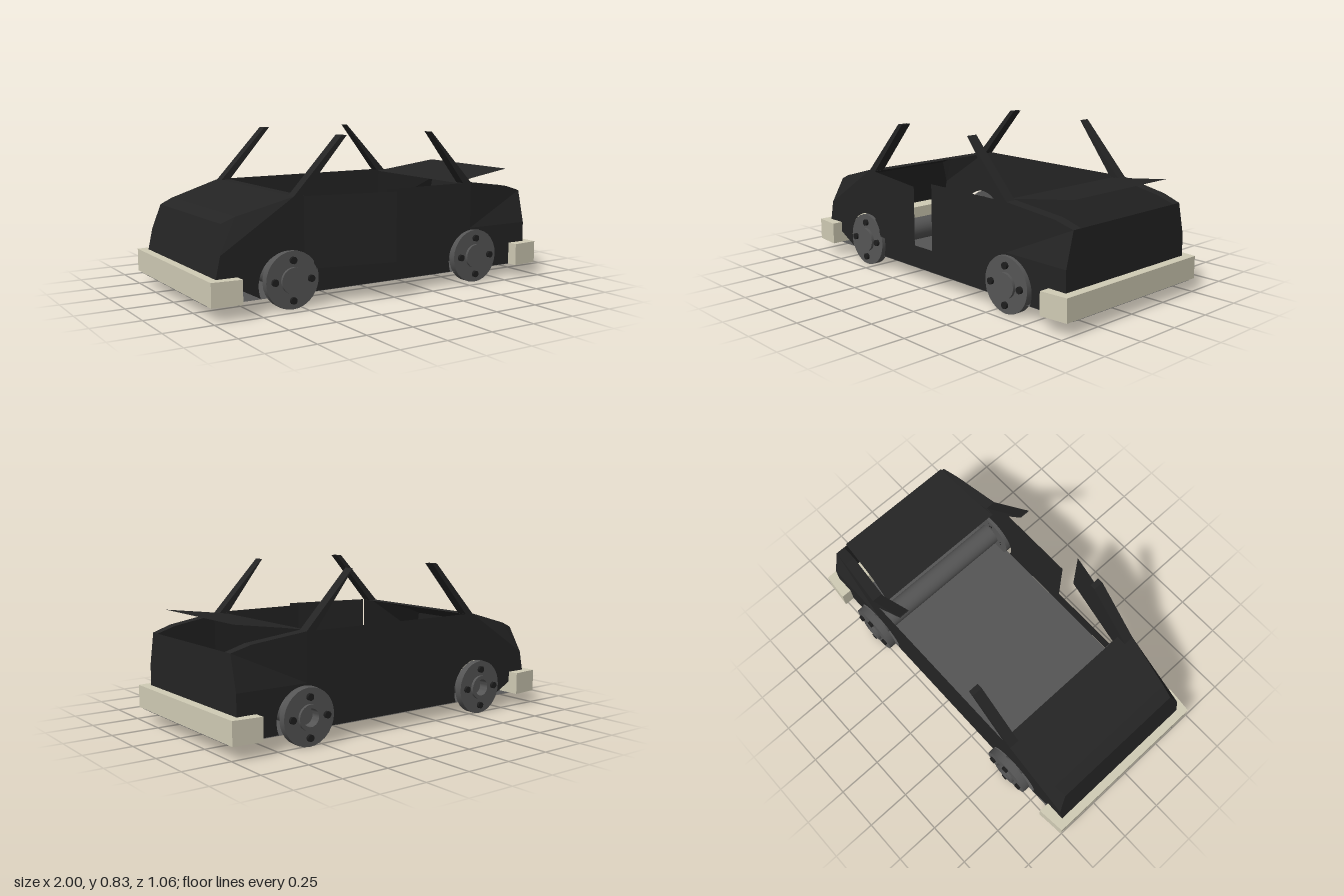
import * as THREE from 'three';
import { toCreasedNormals } from 'three/addons/utils/BufferGeometryUtils.js';

const ZC = -0.022, HALF = 0.445, FLOOR = 0.068;
const ARCH_Y = 0.13, ARCH_R = 0.16, ARCH_A = Math.asin((0.07 - ARCH_Y) / ARCH_R);
const ARCHES = [-0.575, 0.575];

const mat = (name, color, side = THREE.FrontSide) => {
  const m = new THREE.MeshStandardMaterial({ color, side });
  m.name = name;
  return m;
};

// How far the body side leans inwards at nose and tail
function inset(x, y) {
  if (y <= 0.3) return 0;
  if (x > 0.56) return 0.045 * (x - 0.56) / 0.39 * Math.min(1, (y - 0.3) / 0.178);
  if (x < -0.54) return 0.055 * (-0.54 - x) / 0.36 * Math.min(1, (y - 0.3) / 0.14);
  return 0;
}

// Sheet running along rows of [x, y, z0, z1]
function sheet(rows) {
  const p = [];
  for (let i = 0; i + 1 < rows.length; i++) {
    const [x, y, a, b] = rows[i], [X, Y, A, B] = rows[i + 1];
    p.push(x, y, a, x, y, b, X, Y, B, x, y, a, X, Y, B, X, Y, A);
  }
  const g = new THREE.BufferGeometry();
  g.setAttribute('position', new THREE.Float32BufferAttribute(p, 3));
  g.computeVertexNormals();
  return g;
}
const across = (rows) => sheet(rows.map(([x, y, h]) => {
  const w = h ?? HALF - inset(x, y);
  return [x, y, ZC + w, ZC - w];
}));

const outline = (pts) => new THREE.Shape(pts.map(([x, y]) => new THREE.Vector2(x, y)));

// Flat outline stood on one side of the body and bent by the inset rule
function sidePanel(shape, s) {
  const g = new THREE.ShapeGeometry(shape, 20).toNonIndexed();
  const p = g.attributes.position;
  for (let i = 0; i < p.count; i++) p.setZ(i, ZC + s * (HALF - inset(p.getX(i), p.getY(i))));
  g.computeVertexNormals();
  return g;
}

export function createModel() {
  const model = new THREE.Group();
  const body = mat('black paint', 0x242424, THREE.DoubleSide);
  const grey = mat('grey metal', 0x555555);
  const floorMat = mat('grey floor', 0x555555, THREE.DoubleSide);
  const cream = mat('cream bumper', 0xd0cbb5);
  const dark = mat('dark bolt', 0x1e1e1e);
  const add = (name, geo, material, parent = model) => {
    const m = new THREE.Mesh(geo, material);
    m.name = name;
    parent.add(m);
    return m;
  };

  add('floor', across([[-1, FLOOR, HALF], [1, FLOOR, HALF]]), floorMat);

  // Nose, bonnet and tail
  add('nose', across([[-0.955, 0.07], [-0.955, 0.19], [-0.931, 0.3], [-0.9, 0.44]]), body);
  add('bonnet', across([[-0.9, 0.44], [-0.83, 0.47], [-0.54, 0.55], [-0.485, 0.55]]), body);
  add('tailPanel', across([[0.95, 0.07], [0.95, 0.3], [0.95, 0.478]]), body);
  add('raisedBootLid', across([[0.51, 0.545, 0.385], [0.65, 0.566, 0.365], [0.9, 0.6, 0.347]]), body);

  // Body sides; the +z side has the door opening
  const arcEnd = Math.asin((0.19 - ARCH_Y) / ARCH_R);
  const arcTop = Math.acos((-0.49 - ARCHES[0]) / ARCH_R);
  for (const s of [1, -1]) {
    const lower = new THREE.Shape();
    lower.moveTo(-0.955, 0.07);
    if (s > 0) {
      lower.absarc(ARCHES[0], ARCH_Y, ARCH_R, Math.PI - ARCH_A, arcTop, true);
      lower.lineTo(-0.49, 0.3);
    } else {
      lower.absarc(ARCHES[0], ARCH_Y, ARCH_R, Math.PI - ARCH_A, ARCH_A, true);
      lower.absarc(ARCHES[1], ARCH_Y, ARCH_R, Math.PI - ARCH_A, ARCH_A, true);
      lower.lineTo(0.95, 0.07);
      lower.lineTo(0.95, 0.3);
    }
    lower.lineTo(-0.931, 0.3);
    lower.lineTo(-0.955, 0.19);
    add('lowerSide', sidePanel(lower, s), body);
    if (s > 0) {
      const sill = new THREE.Shape();
      sill.absarc(ARCHES[0], ARCH_Y, ARCH_R, arcEnd, ARCH_A, true);
      sill.absarc(ARCHES[1], ARCH_Y, ARCH_R, Math.PI - ARCH_A, ARCH_A, true);
      for (const [x, y] of [[0.95, 0.07], [0.95, 0.3], [0, 0.3], [0, 0.19]]) sill.lineTo(x, y);
      add('sill', sidePanel(sill, s), body);
    }
    const front = [[-0.931, 0.3], [-0.54, 0.3], [-0.54, 0.55], [-0.83, 0.47], [-0.9, 0.44]];
    const rear = [[0.56, 0.3], [0.95, 0.3], [0.95, 0.478], [0.845, 0.51], [0.56, 0.55]];
    const box = (a, b) => [[a, 0.3], [b, 0.3], [b, 0.55], [a, 0.55]];
    const mids = s > 0 ? [box(-0.54, -0.49), box(0, 0.56)] : [box(-0.54, 0.56)];
    for (const pts of [front, rear, ...mids]) add('upperSide', sidePanel(outline(pts), s), body);

    // Narrow wing top beside the boot opening
    add('rearWingTop', sheet([[0.505, 0.55, 0.385], [0.56, 0.55, 0.383], [0.845, 0.51, 0.352], [0.95, 0.478, 0.348]]
      .map(([x, y, inner]) => [x, y, ZC + s * (HALF - inset(x, y)), ZC + s * inner])), body);

    // Roof pillars
    const pillars = {
      frontPillar: [[-0.54, 0.55], [-0.49, 0.55], [-0.24, 0.835], [-0.27, 0.835]],
      rearPillar: [[0.505, 0.55], [0.56, 0.55], [0.288, 0.835], [0.283, 0.835]],
    };
    for (const [name, pts] of Object.entries(pillars)) {
      const g = new THREE.ExtrudeGeometry(outline(pts), { depth: 0.057, bevelEnabled: false });
      g.translate(0, 0, s > 0 ? ZC + HALF - 0.057 : ZC - HALF);
      add(name, g, body);
    }
  }

  // Door, hinged at its front edge and ajar
  const doorShape = new THREE.Shape();
  doorShape.moveTo(0.49, 0.19);
  doorShape.lineTo(0.49, 0.55);
  doorShape.lineTo(0, 0.55);
  doorShape.absarc(ARCHES[0] + 0.49, ARCH_Y, ARCH_R, arcTop, arcEnd, true);
  const door = add('door', new THREE.ShapeGeometry(doorShape), body);
  door.position.set(-0.49, 0, 0.433);
  door.rotation.y = -0.2;

  // Wrap-round bumpers
  for (const e of [-1, 1]) {
    const plan = outline([[e * 0.845, -0.505 - ZC], [e, -0.49 - ZC], [e, 0.49 - ZC], [e * 0.845, 0.505 - ZC]]);
    const g = new THREE.ExtrudeGeometry(plan, { depth: 0.12, bevelEnabled: false });
    g.rotateX(-Math.PI / 2);
    g.translate(0, 0.07, 0);
    add(e < 0 ? 'frontBumper' : 'rearBumper', g, cream);
  }

  // Axles and wheels with four bolts
  const disc = [[0.045, -0.02], [0.145, -0.02], [0.145, 0.02], [0.065, 0.02], [0.065, 0.035], [0.045, 0.035], [0.045, -0.02]];
  const wheelGeo = toCreasedNormals(
    new THREE.LatheGeometry(disc.map(([r, y]) => new THREE.Vector2(r, y)), 28).rotateX(Math.PI / 2), 0.6);
  const boltGeo = new THREE.CylinderGeometry(0.018, 0.018, 0.055, 10).rotateX(Math.PI / 2);
  for (const x of [-0.56, 0.58]) {
    const axle = add('axle', new THREE.CylinderGeometry(0.064, 0.064, 0.934, 24).rotateX(Math.PI / 2), grey);
    axle.position.set(x, 0.145, (0.458 - 0.476) / 2);
    for (const s of [1, -1]) {
      const wheel = new THREE.Group();
      wheel.name = 'wheel';
      wheel.position.set(x, 0.145, s > 0 ? 0.423 : -0.495);
      if (s < 0) wheel.rotation.y = Math.PI;
      add('wheelDisc', wheelGeo, grey, wheel);
      for (let i = 0; i < 4; i++) {
        const a = i * Math.PI / 2;
        add('wheelBolt', boltGeo, dark, wheel).position.set(0.1 * Math.cos(a), 0.1 * Math.sin(a), 0.0075);
      }
      model.add(wheel);
    }
  }
  return model;
}
